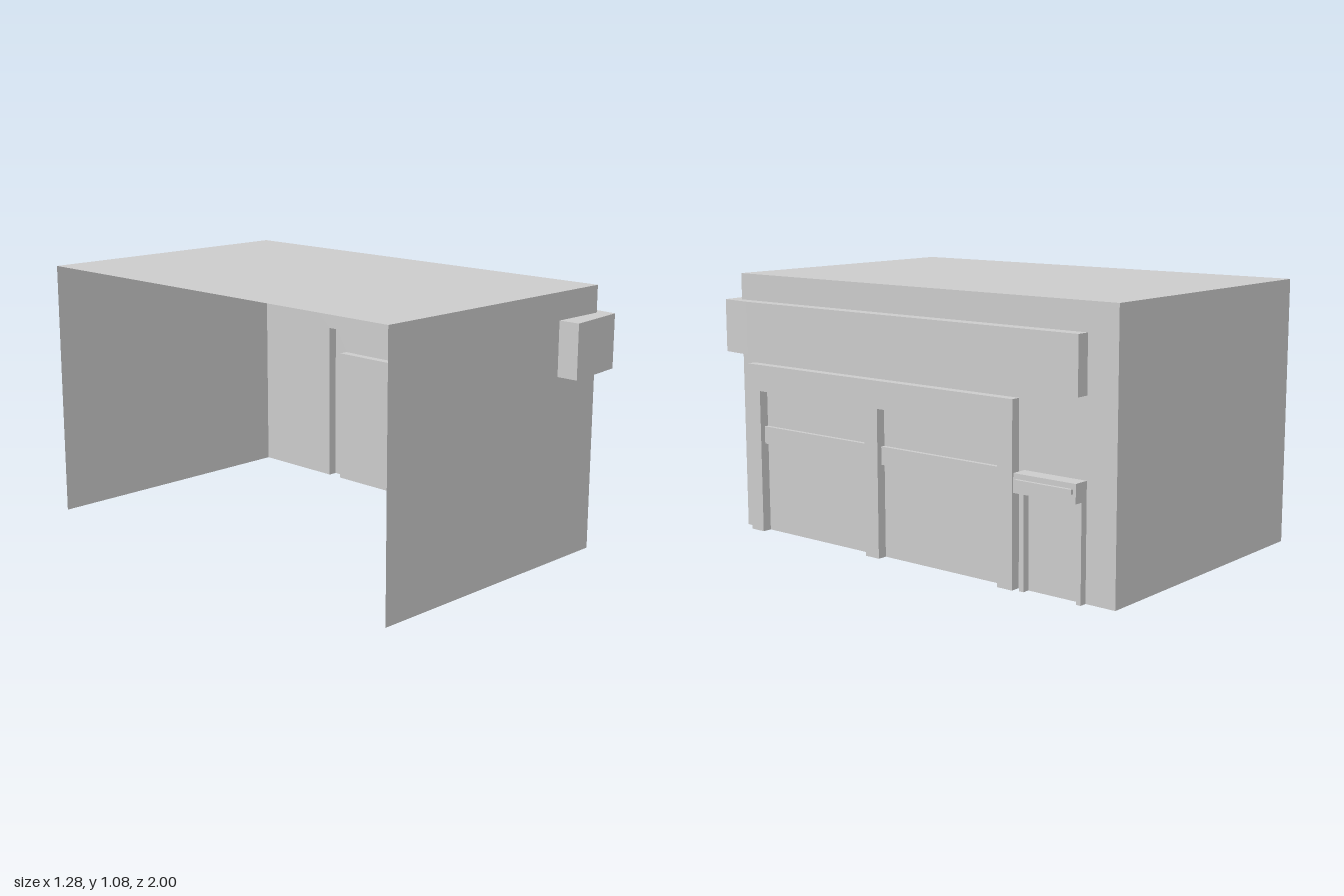
import * as THREE from 'three';

const WALL = 0.56, FRAME = 0.6, LEFT = -0.64, BACK = -1, FRONT = 0.91, TOP = 1.08;

export function createModel() {
  const group = new THREE.Group();
  const material = new THREE.MeshStandardMaterial({ color: 0xcccccc, side: THREE.DoubleSide });

  const add = (name, geometry) => {
    const mesh = new THREE.Mesh(geometry, material);
    mesh.name = name;
    group.add(mesh);
    return mesh;
  };
  const toShape = (points) => new THREE.Shape(points.map(([a, b]) => new THREE.Vector2(a, b)));

  // Flat panel facing +x, outlined by [z, y] points
  const sidePanel = (name, points, x) =>
    add(name, new THREE.ShapeGeometry(toShape(points.map(([z, y]) => [-z, y])))
      .rotateY(Math.PI / 2).translate(x, 0, 0));

  // Box given by its limits
  const box = (name, x0, x1, y0, y1, z0, z1) =>
    add(name, new THREE.BoxGeometry(x1 - x0, y1 - y0, z1 - z0)
      .translate((x0 + x1) / 2, (y0 + y1) / 2, (z0 + z1) / 2));

  // Open shell: the far side and the floor are left out
  const width = WALL - LEFT, depth = FRONT - BACK;
  const midX = (WALL + LEFT) / 2, midZ = (FRONT + BACK) / 2;
  add('roof', new THREE.PlaneGeometry(width, depth).rotateX(-Math.PI / 2).translate(midX, TOP, midZ));
  add('frontWall', new THREE.PlaneGeometry(width, TOP).translate(midX, TOP / 2, FRONT));
  add('backWall', new THREE.PlaneGeometry(width, TOP).rotateY(Math.PI).translate(midX, TOP / 2, BACK));

  // Side wall, cut away behind the bay frame
  const fz0 = -0.57, fz1 = 0.84, fTop = 0.71;
  sidePanel('sideWall', [
    [FRONT, 0], [fz1, 0], [fz1, fTop], [fz0, fTop], [fz0, 0],
    [BACK, 0], [BACK, TOP], [FRONT, TOP],
  ], WALL);

  // Raised hollow frame around the two bays
  const bays = [[0.17, 0.77], [-0.5, 0.1]], bayTop = 0.6;
  const outline = [[fz1, 0]];
  for (const [a, b] of bays) outline.push([b, 0], [b, bayTop], [a, bayTop], [a, 0]);
  outline.push([fz0, 0], [fz0, fTop], [fz1, fTop]);
  sidePanel('bayFrameFace', outline, FRAME);

  // Frame returns, leaving the feet open
  const positions = [];
  outline.forEach(([z0, y0], i) => {
    const [z1, y1] = outline[(i + 1) % outline.length];
    if (y0 === 0 && y1 === 0) return;
    positions.push(
      WALL, y0, z0, WALL, y1, z1, FRAME, y1, z1,
      WALL, y0, z0, FRAME, y1, z1, FRAME, y0, z0);
  });
  const returns = new THREE.BufferGeometry();
  returns.setAttribute('position', new THREE.Float32BufferAttribute(positions, 3));
  returns.computeVertexNormals();
  add('bayFrameReturns', returns);

  // Bay doors, each with a raised cross band
  for (const [a, b] of bays) {
    sidePanel('bayDoor', [[b, 0], [a, 0], [a, bayTop], [b, bayTop]], WALL);
    box('bayDoorBand', WALL, WALL + 0.018, 0.375, 0.448, a, b);
  }

  // Fascia band wrapping the front corner
  const fascia = [[WALL, -0.87], [0.615, -0.87], [0.615, 0.82], [0.597, 0.97],
    [0.318, 1], [0.318, FRONT], [WALL, FRONT]];
  add('fascia', new THREE.ExtrudeGeometry(toShape(fascia.map(([x, z]) => [x, -z])),
    { depth: 0.22, bevelEnabled: false }).rotateX(-Math.PI / 2).translate(0, 0.75, 0));

  // Small side door with jambs, canopy and rail
  for (const [z0, z1] of [[-0.615, -0.595], [-0.872, -0.852]]) {
    box('doorJamb', WALL, WALL + 0.03, 0, 0.375, z0, z1);
  }
  box('doorCanopy', WALL, 0.625, 0.375, 0.448, -0.872, -0.595);
  box('canopyRail', 0.625, 0.638, 0.41, 0.428, -0.86, -0.61);

  return group;
}
